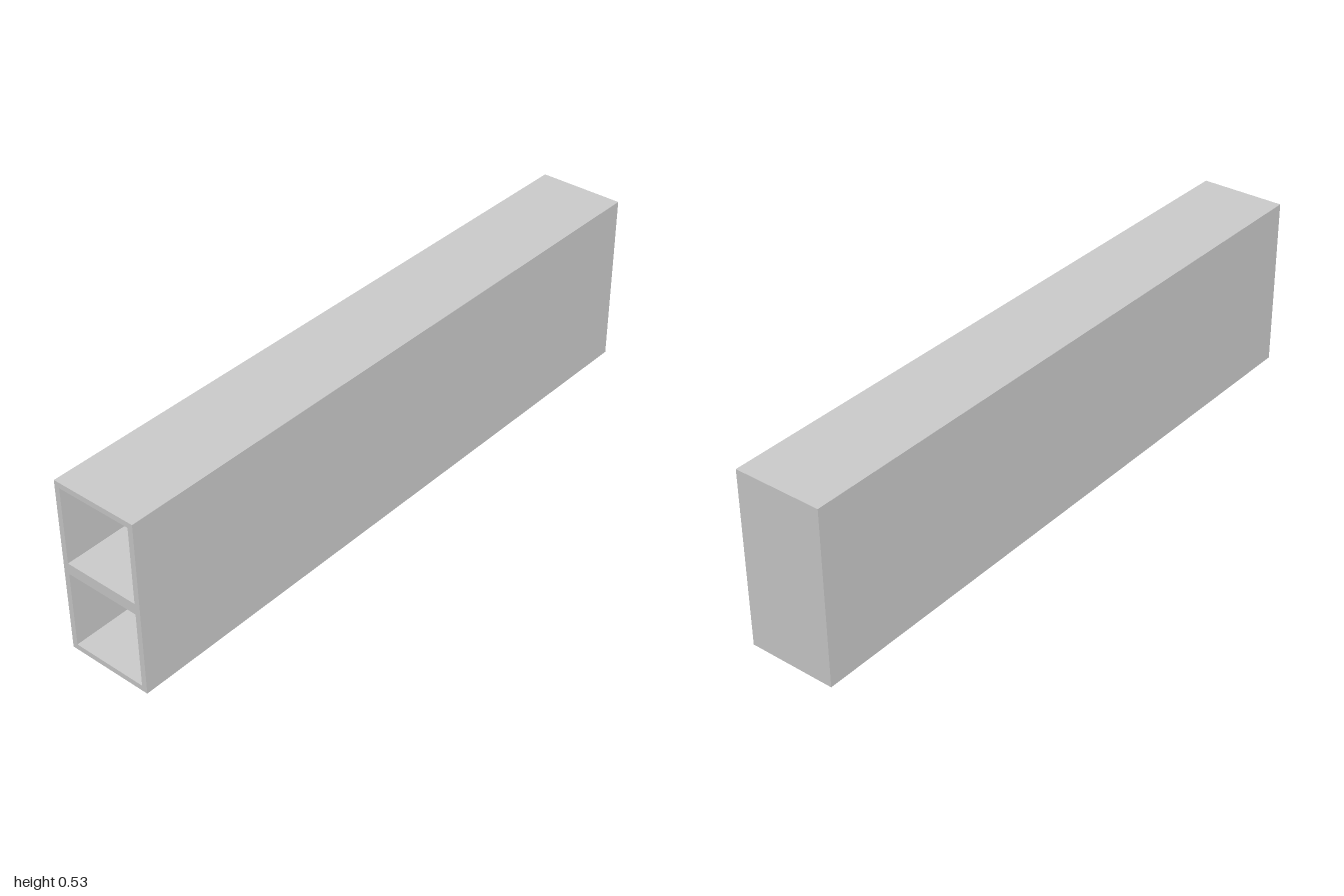
import * as THREE from 'three';

const WALL = 1 / 60;          // sheet thickness
const SIZE = 16 * WALL;       // outer side of one square cell
const LENGTH = 2;

// Rectangle outline, centred on x, standing on y = bottom
function rectangle(path, width, bottom, height) {
  const x = width / 2;
  path.moveTo(-x, bottom);
  path.lineTo(x, bottom);
  path.lineTo(x, bottom + height);
  path.lineTo(-x, bottom + height);
  path.closePath();
  return path;
}

export function createModel() {
  const group = new THREE.Group();
  group.name = 'stackedTubes';
  const material = new THREE.MeshStandardMaterial({ color: 0xcccccc });

  // Two square channels stacked in one casing, open at the front
  const section = rectangle(new THREE.Shape(), SIZE, 0, 2 * SIZE);
  for (let i = 0; i < 2; i++) {
    const opening = SIZE - 2 * WALL;
    section.holes.push(rectangle(new THREE.Path(), opening, i * SIZE + WALL, opening));
  }
  const casing = new THREE.Mesh(
    new THREE.ExtrudeGeometry(section, { depth: LENGTH - WALL, bevelEnabled: false }),
    material
  );
  casing.name = 'casing';
  casing.position.z = -LENGTH / 2 + WALL;
  group.add(casing);

  // Plate closing the back end
  const backPlate = new THREE.Mesh(new THREE.BoxGeometry(SIZE, 2 * SIZE, WALL), material);
  backPlate.name = 'backPlate';
  backPlate.position.set(0, SIZE, -LENGTH / 2 + WALL / 2);
  group.add(backPlate);

  return group;
}
